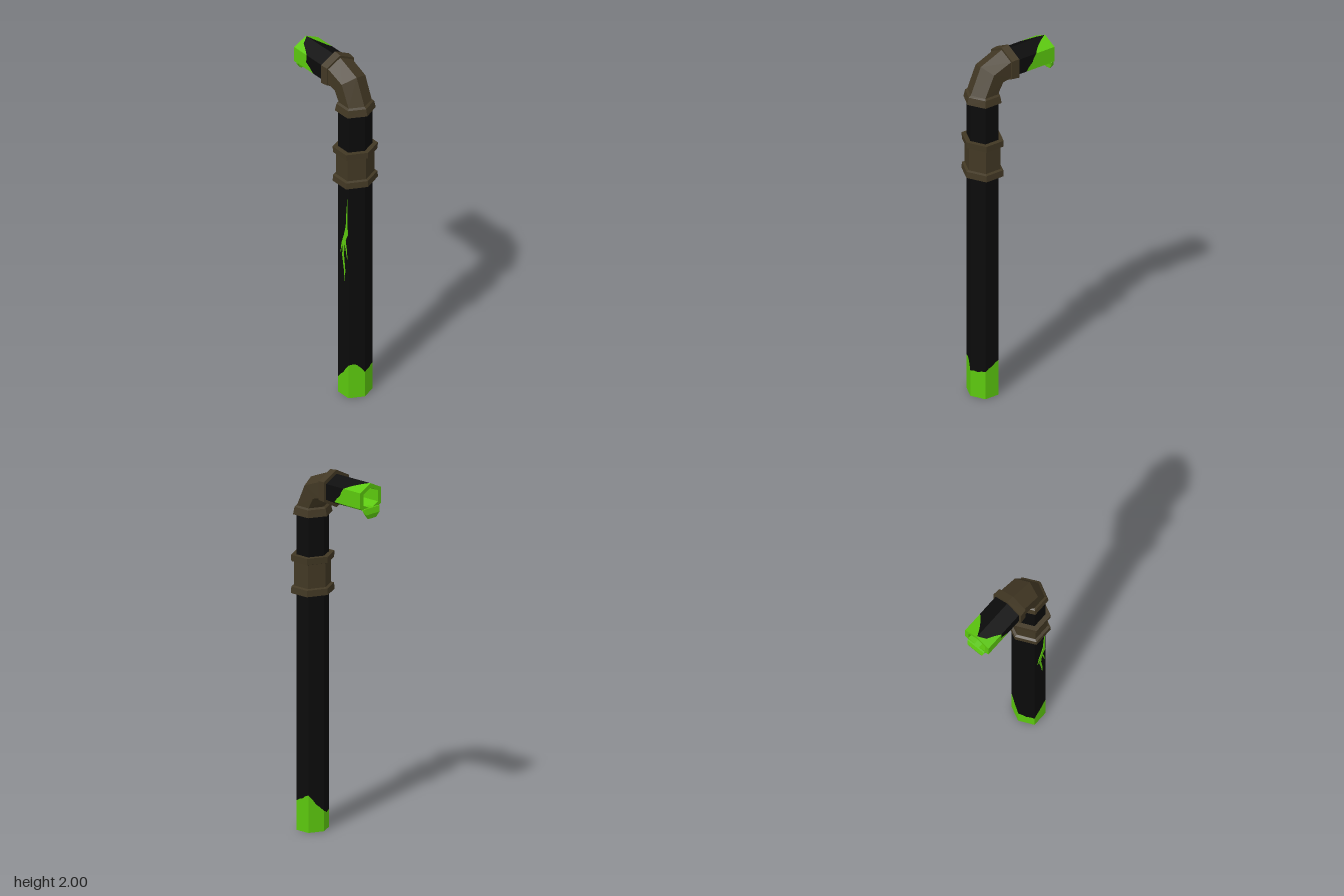
import * as THREE from 'three';

const mat = (name, color) => {
  const m = new THREE.MeshStandardMaterial({ color, flatShading: true });
  m.name = name;
  return m;
};

// Skin a list of equal-length closed rings, running upward with outward faces
function loft(name, rings, material) {
  const pos = [];
  for (let j = 0; j < rings.length - 1; j++) {
    const lo = rings[j], hi = rings[j + 1], n = lo.length;
    for (let i = 0; i < n; i++) {
      const k = (i + 1) % n;
      pos.push(...lo[i], ...lo[k], ...hi[k], ...lo[i], ...hi[k], ...hi[i]);
    }
  }
  const g = new THREE.BufferGeometry();
  g.setAttribute('position', new THREE.Float32BufferAttribute(pos, 3));
  g.computeVertexNormals();
  const mesh = new THREE.Mesh(g, material);
  mesh.name = name;
  return mesh;
}

// Hexagon outline with flat sides at +-x and points at +-z
const hexagon = (r, k = 1.02) => [
  [-r, r * k * 0.53], [0, r * k], [r, r * k * 0.53],
  [r, -r * k * 0.53], [0, -r * k], [-r, -r * k * 0.53],
];
const ringAt = (r, y, k) => hexagon(r, k).map(([x, z]) => [x, y, z]);

// Hexagon ring with four steps per side; heights hold 12 values around it
const STEPS = 4;
function wavyRing(r, heights) {
  const hex = hexagon(r), out = [];
  for (let i = 0; i < 6; i++) {
    const a = hex[i], b = hex[(i + 1) % 6];
    for (let s = 0; s < STEPS; s++) {
      const t = s / STEPS, u = (i + t) * 2, c = Math.floor(u), f = u - c;
      const jag = s % 2 ? 0.004 : 0;
      const h = heights[c] * (1 - f) + heights[(c + 1) % 12] * f + (heights[c] > 0.01 ? jag : 0);
      out.push([a[0] + (b[0] - a[0]) * t, h, a[1] + (b[1] - a[1]) * t]);
    }
  }
  return out;
}

// Pipe with its open end at y = 0, ragged paint around that end
function pipe(name, length, edge, black, green) {
  const g = new THREE.Group();
  g.name = name;
  const flat = (h) => Array(12).fill(h);
  const level = (r, h) => wavyRing(r, flat(h)).map(([x, , z]) => [x, h, z]);
  const R = 0.08, IN = 0.056, DEPTH = 0.25;
  const line = wavyRing(R, edge);
  g.add(loft('paintedEnd', [level(IN, DEPTH), level(IN, 0), level(R, 0), line], green));
  g.add(loft('pipeWall', [line, level(R, length)], black));
  g.add(loft('pipePlug', [level(0.0005, DEPTH), level(IN, DEPTH)], black));
  return g;
}

export function createModel() {
  const black = mat('black pipe', 0x0b0b0b);
  const brown = mat('brown fitting', 0x423824);
  const green = mat('green slime', 0x5cc80e);
  const model = new THREE.Group();
  model.name = 'bentPipe';

  // Upright pipe
  const upright = pipe('uprightPipe', 1.76,
    [0.2, 0.2, 0.15, 0.15, 0.16, 0.18, 0.205, 0.15, 0.11, 0.09, 0.095, 0.14], black, green);
  upright.position.z = 0.16;
  model.add(upright);

  // Spout pointing backward
  const spout = pipe('spoutPipe', 0.26,
    [0.16, 0.15, 0.15, 0.16, 0.185, 0.145, 0.12, 0.075, 0.005, 0.03, 0.105, 0.1], black, green);
  spout.rotation.x = Math.PI / 2;
  spout.position.set(0, 1.896, -0.255);
  model.add(spout);

  // Coupling with a flange at each end
  const coupling = loft('coupling', [
    [0.07, 1.3], [0.106, 1.3], [0.104, 1.335], [0.09, 1.34],
    [0.09, 1.47], [0.104, 1.475], [0.106, 1.51], [0.07, 1.51],
  ].map(([r, y]) => ringAt(r, y)), brown);
  coupling.position.z = 0.16;
  model.add(coupling);

  // Elbow: z, y, tilt in degrees, radius, depth ratio
  const elbow = [
    [0.16, 1.73, 0, 0.07, 1.02], [0.16, 1.73, 0, 0.094, 1.08],
    [0.16, 1.77, 0, 0.087, 1.06], [0.16, 1.778, 0, 0.077, 1.02],
    [0.115, 1.868, 45, 0.079, 1.02], [0.034, 1.897, 90, 0.081, 1.04],
    [0.034, 1.897, 90, 0.09, 1.08], [-0.01, 1.897, 90, 0.0945, 1.09],
    [-0.01, 1.897, 90, 0.07, 1.02],
  ].map(([z, y, deg, r, k]) => {
    const a = THREE.MathUtils.degToRad(deg);
    return hexagon(r, k).map(([px, pz]) => [px, y + pz * Math.sin(a), z + pz * Math.cos(a)]);
  });
  model.add(loft('elbow', elbow, brown));

  // Slime drip over the lower lip of the spout: z, y, half width, half thickness
  const drip = [
    [-0.225, 1.842, 0.001, 0.001], [-0.225, 1.842, 0.04, 0.005], [-0.258, 1.84, 0.058, 0.008],
    [-0.265, 1.815, 0.05, 0.007], [-0.264, 1.79, 0.03, 0.003], [-0.264, 1.788, 0.001, 0.001],
  ].map(([z, y, w, t], i) => {
    const n = i < 2 ? [1, 0] : i === 2 ? [0.7, -0.7] : [0, -1];
    return [[-w, -1], [w, -1], [w, 1], [-w, 1]]
      .map(([x, s]) => [x, y + n[0] * t * s, z + n[1] * t * s]);
  });
  const dripMat = green.clone();
  dripMat.side = THREE.DoubleSide;
  model.add(loft('slimeDrip', drip, dripMat));

  // Branching slime crack on the right side, outlines as (z, y)
  const branches = [
    [[0.037, 1.22], [0.028, 1.12], [0.024, 1.05], [0.008, 0.99], [0.0, 0.95], [-0.006, 0.86],
      [0.008, 0.78], [0.016, 0.71], [0.017, 0.78], [0.006, 0.87], [0.014, 0.94], [0.03, 0.98],
      [0.04, 1.0], [0.036, 1.06]],
    [[0.008, 0.99], [-0.012, 0.93], [-0.02, 0.87], [-0.006, 0.92], [0.01, 0.95]],
    [[0.012, 0.95], [0.024, 0.9], [0.036, 0.85], [0.03, 0.91], [0.02, 0.96]],
  ];
  const crack = new THREE.Group();
  crack.name = 'slimeCrack';
  for (const pts of branches) {
    const shape = new THREE.Shape(pts.map(([z, y]) => new THREE.Vector2(z, y)));
    const m = new THREE.Mesh(
      new THREE.ExtrudeGeometry(shape, { depth: 0.004, bevelEnabled: false }), green);
    m.name = 'crackBranch';
    crack.add(m);
  }
  crack.rotation.y = -Math.PI / 2;
  crack.position.set(-0.079, 0, 0.16);
  model.add(crack);

  return model;
}
